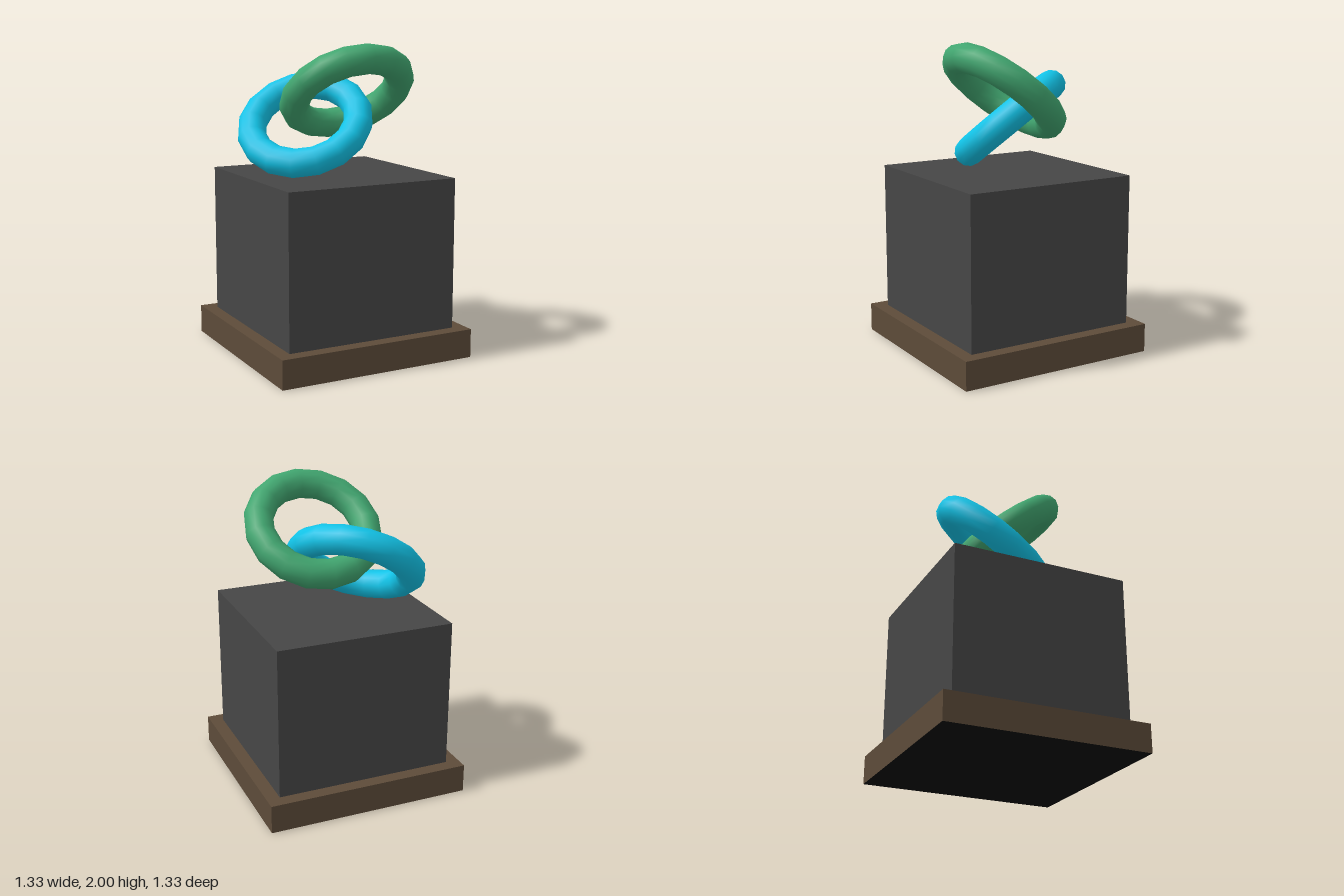
import * as THREE from 'three';

const colour = (name, color) => {
  const material = new THREE.MeshStandardMaterial({ color });
  material.name = name;
  return material;
};

export function createModel() {
  const group = new THREE.Group();
  const brown = colour('brown wood', 0x5d4b39);
  const black = colour('black felt', 0x0a0a0a);
  const grey = colour('dark grey', 0x464646);
  const green = colour('green', 0x41a670);
  const blue = colour('bright blue', 0x12c4e8);

  // Square slab spanning two heights
  const slab = (name, side, bottom, top, material) => {
    const mesh = new THREE.Mesh(new THREE.BoxGeometry(side, top - bottom, side), material);
    mesh.name = name;
    mesh.position.y = (bottom + top) / 2;
    group.add(mesh);
  };
  // The base has a black underside
  slab('plinthBase', 1.333, 0, 0.185, [brown, brown, brown, black, brown, brown]);
  slab('plinthBlock', 1.16, 0.185, 1.16, grey);

  // Two interlocked rings of equal size
  const ringGeometry = new THREE.TorusGeometry(0.355, 0.095, 12, 16);
  const ring = (name, material, position, ...angles) => {
    const mesh = new THREE.Mesh(ringGeometry, material);
    mesh.name = name;
    mesh.position.set(...position);
    mesh.rotation.set(...angles.map(THREE.MathUtils.degToRad));
    group.add(mesh);
  };
  ring('upperRing', green, [0.09, 1.683, 0.055], 51, 0, 0);
  ring('lowerRing', blue, [-0.125, 1.478, -0.125], -58, -25.5, 11.25);

  return group;
}
